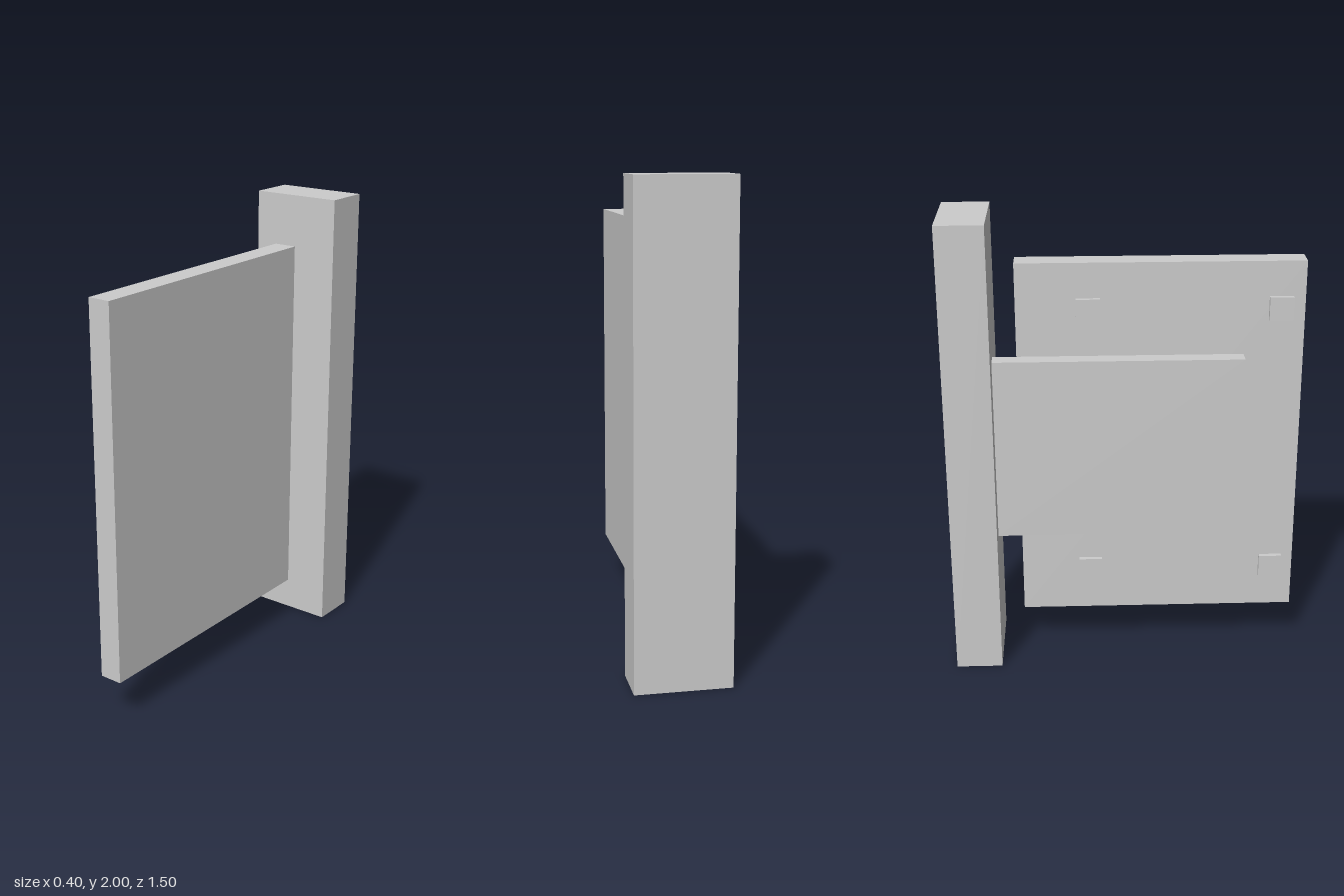
import * as THREE from 'three';

const material = new THREE.MeshStandardMaterial({ color: 0xcccccc });

// Box given by its [min, max] extent along each axis
function block(name, [x0, x1], [y0, y1], [z0, z1]) {
  const mesh = new THREE.Mesh(new THREE.BoxGeometry(x1 - x0, y1 - y0, z1 - z0), material);
  mesh.position.set((x0 + x1) / 2, (y0 + y1) / 2, (z0 + z1) / 2);
  mesh.name = name;
  return mesh;
}

export function createModel() {
  const group = new THREE.Group();
  group.name = 'panelOnPost';
  const panelBack = -0.033;

  // Upright post at the rear
  group.add(block('post', [-0.2, 0.2], [0, 2], [-0.75, -0.55]));

  // Large upright panel, standing clear of the post
  group.add(block('panel', [panelBack, 0.067], [0.2, 1.8], [-0.45, 0.75]));

  // Mounting plate joining the panel to the post
  group.add(block('mountingPlate', [-0.103, panelBack], [0.6, 1.4], [-0.55, 0.5]));

  // Four small pads near the corners of the panel's mounting side
  const pads = new THREE.Group();
  pads.name = 'pads';
  for (const y of [0.35, 1.55]) {
    for (const z of [-0.2, 0.6]) {
      pads.add(block('pad', [-0.053, panelBack], [y, y + 0.1], [z, z + 0.1]));
    }
  }
  group.add(pads);

  return group;
}
